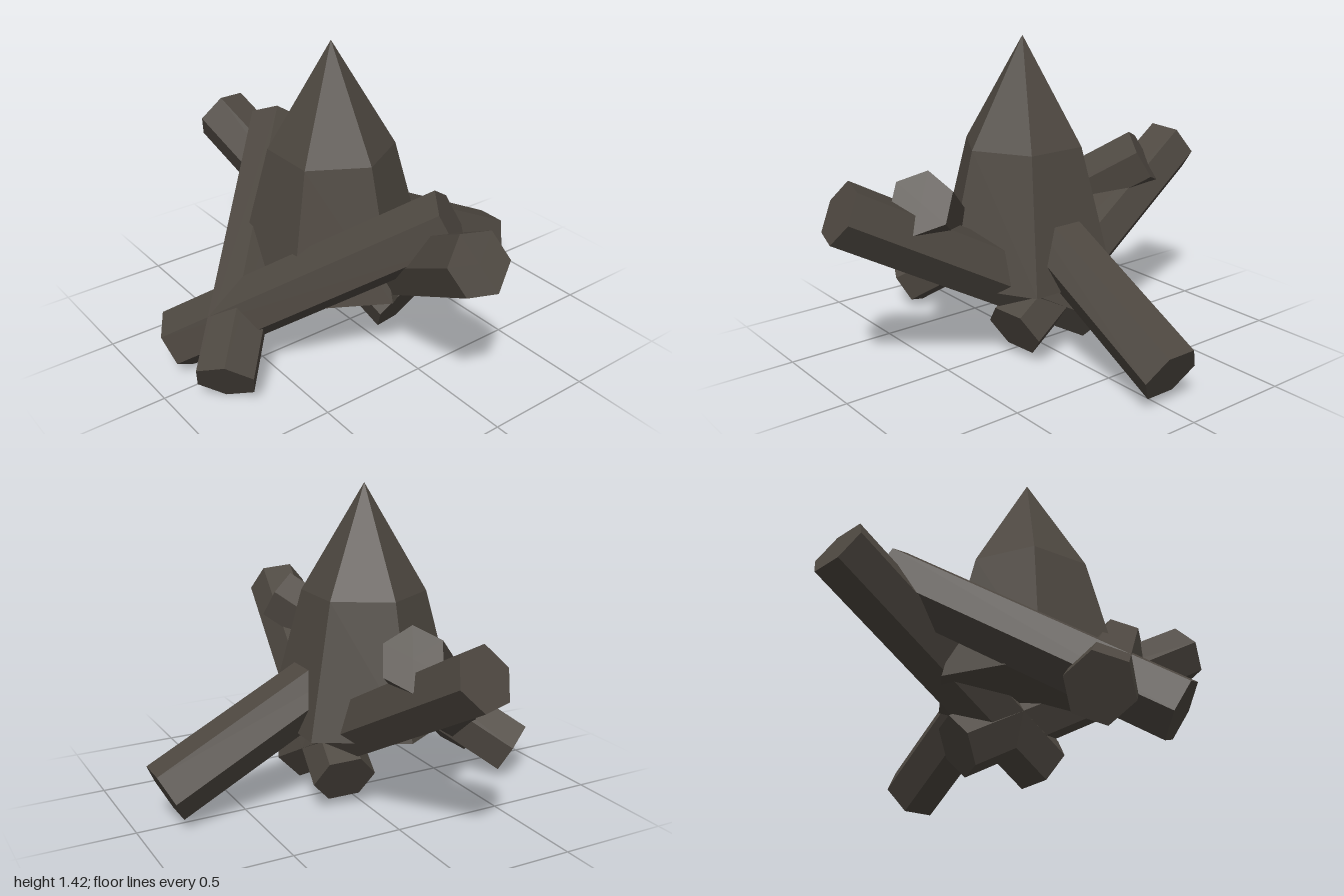
import * as THREE from 'three';

const stone = new THREE.MeshStandardMaterial({ color: 0x4d4740, flatShading: true });
stone.name = 'dark stone';

// Six-sided column between two points, rolled about its own axis (degrees)
function column(name, low, high, roll) {
  const a = new THREE.Vector3(...low);
  const b = new THREE.Vector3(...high);
  const dir = b.clone().sub(a);
  const length = dir.length();
  dir.normalize();
  const side = new THREE.Vector3(dir.z, 0, -dir.x).normalize()
    .applyAxisAngle(dir, THREE.MathUtils.degToRad(roll));
  const up = new THREE.Vector3().crossVectors(dir, side);
  const mesh = new THREE.Mesh(new THREE.CylinderGeometry(0.14, 0.14, length, 6), stone);
  mesh.quaternion.setFromRotationMatrix(new THREE.Matrix4().makeBasis(up, dir, side));
  mesh.position.copy(a).add(b).multiplyScalar(0.5);
  mesh.name = name;
  return mesh;
}

export function createModel() {
  const model = new THREE.Group();
  model.name = 'stoneSpire';

  // Tapered hexagonal spire with a closed base
  const profile = [[0, 0.35], [0.435, 0.35], [0.28, 0.94], [0, 1.42]]
    .map(([r, y]) => new THREE.Vector2(r, y));
  const spire = new THREE.Mesh(new THREE.LatheGeometry(profile, 6), stone);
  spire.position.x = -0.1;
  spire.name = 'spire';
  model.add(spire);

  // Single column leaning out to the left
  model.add(column('leftColumn', [0.865, 0.155, 0], [-0.32, 0.765, 0], 0));

  // Mirrored pairs of columns that cross under and behind the spire
  for (const s of [1, -1]) {
    const end = s > 0 ? 'front' : 'back';
    model.add(column(end + 'Column', [0.115, 0.15, -0.22 * s], [-0.1, 0.785, 0.935 * s], -7 * s));
    model.add(column(end + 'CrossColumn', [-0.81, 0.12, -0.2 * s], [0.03, 0.8, 0.63 * s], 22 * s));
  }
  return model;
}
